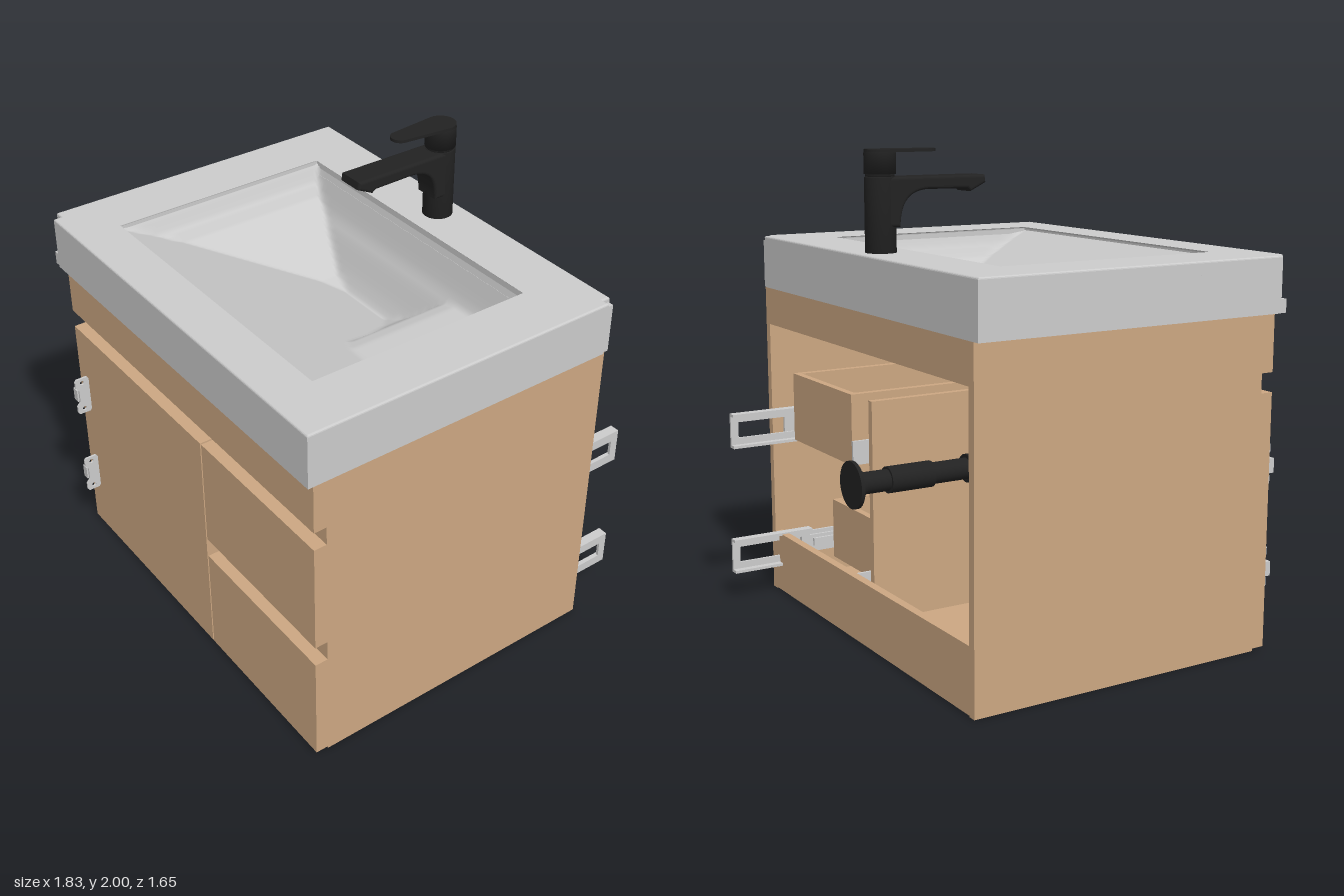
import * as THREE from 'three';

const mat = (color) => new THREE.MeshStandardMaterial({ color, side: THREE.DoubleSide });
const wood = mat(0xcca782), grey = mat(0xcccccc), black = mat(0x222222);

function add(parent, name, geometry, material) {
  const m = new THREE.Mesh(geometry, material);
  m.name = name;
  parent.add(m);
  return m;
}

// Box given by its min and max on every axis
function box(parent, name, x0, x1, y0, y1, z0, z1, material = wood) {
  const m = add(parent, name, new THREE.BoxGeometry(x1 - x0, y1 - y0, z1 - z0), material);
  m.position.set((x0 + x1) / 2, (y0 + y1) / 2, (z0 + z1) / 2);
  return m;
}

function group(parent, name) {
  const g = new THREE.Group();
  g.name = name;
  parent.add(g);
  return g;
}

// Plan outline (x, z) raised from y0 to y1
const planPath = (pts, Type = THREE.Shape) => new Type(pts.map(([x, z]) => new THREE.Vector2(x, -z)));
function raise(shape, y0, y1, bevel = 0) {
  const g = new THREE.ExtrudeGeometry(shape, {
    depth: y1 - y0 - 2 * bevel, bevelEnabled: bevel > 0, bevelSize: bevel,
    bevelThickness: bevel, bevelOffset: -bevel, bevelSegments: 3, curveSegments: 24,
  });
  return g.rotateX(-Math.PI / 2).translate(0, y0 + bevel, 0);
}

// Side profile (z, y) extruded across x
function across(shape, x0, x1, bevel = 0) {
  const g = new THREE.ExtrudeGeometry(shape, {
    depth: x1 - x0 - 2 * bevel, bevelEnabled: bevel > 0, bevelSize: bevel,
    bevelThickness: bevel, bevelOffset: -bevel, bevelSegments: 4, curveSegments: 24,
  });
  return g.rotateY(-Math.PI / 2).translate(x1 - bevel, 0, 0);
}

const rect = (x0, x1, z0, z1) => [[x0, z0], [x1, z0], [x1, z1], [x0, z1]];

function buildCabinet(root) {
  const c = group(root, 'cabinet');
  box(c, 'rightSide', -0.89, -0.855, 0, 1.375, -0.6, 0.71);
  box(c, 'leftSide', 0.85, 0.885, 0, 1.375, -0.6, 0.71);
  box(c, 'floor', -0.855, 0.85, 0.005, 0.04, -0.6, 0.71);
  box(c, 'backTopRail', -0.855, 0.85, 1.215, 1.375, -0.6, -0.565);
  box(c, 'backBottomRail', -0.855, 0.85, 0.04, 0.27, -0.6, -0.565);
  box(c, 'divider', 0.115, 0.145, 0.04, 0.98, -0.48, 0.71);
  // Recessed grip channels
  box(c, 'upperGripChannel', -0.855, 0.85, 1.03, 1.17, 0.68, 0.705);
  box(c, 'lowerGripChannel', 0.145, 0.85, 0.46, 0.61, 0.68, 0.705);
  // Front panels
  box(c, 'topFront', -0.89, 0.885, 1.14, 1.375, 0.71, 0.765);
  box(c, 'door', -0.89, 0.127, 0.01, 1.06, 0.71, 0.765);
  box(c, 'upperDrawerFront', 0.135, 0.885, 0.58, 1.06, 0.71, 0.765);
  box(c, 'lowerDrawerFront', 0.135, 0.885, 0.01, 0.49, 0.71, 0.765);
}

function buildDrawer(root, name, y0, y1, zBack, slideY) {
  const d = group(root, name);
  box(d, 'drawerBack', 0.2, 0.77, y0, y1, zBack, zBack + 0.03);
  box(d, 'drawerInnerFront', 0.2, 0.77, y0, y1, 0.65, 0.68);
  for (const x of [0.2, 0.74]) box(d, 'drawerSide', x, x + 0.03, y0, y1, zBack, 0.68);
  box(d, 'drawerBottom', 0.2, 0.77, y0 + 0.02, y0 + 0.04, zBack, 0.68);
  // Telescopic slides, nested strips on both sides
  for (const [x, dir] of [[0.845, -1], [0.15, 1]]) {
    [0.1, 0.065, 0.035].forEach((h, i) => {
      const a = x + dir * i * 0.013, b = a + dir * 0.012;
      box(d, 'slideRail', Math.min(a, b), Math.max(a, b), slideY - h / 2, slideY + h / 2, -0.55 + i * 0.06, 0.62, grey);
    });
  }
  // Looped bracket reaching out of the back
  const zEnd = slideY > 0.5 ? -0.815 : -0.825, t = 0.075;
  const loop = new THREE.Shape([[zEnd, -t], [-0.45, -t], [-0.45, t], [zEnd, t]].map(([z, y]) => new THREE.Vector2(z, slideY + y)));
  loop.holes.push(new THREE.Path([[zEnd + 0.035, -0.035], [-0.49, -0.035], [-0.49, 0.035], [zEnd + 0.035, 0.035]]
    .map(([z, y]) => new THREE.Vector2(z, slideY + y))));
  add(d, 'slideBracket', across(loop, 0.808, 0.82), grey);
  for (const s of [-1, 1]) {
    const y = slideY + s * 0.07;
    box(d, 'bracketFlange', 0.778, 0.82, y - 0.006, y + 0.006, zEnd, -0.45, grey);
  }
}

function buildHinge(root, y) {
  const h = group(root, 'hinge');
  const plate = new THREE.Shape();
  const pts = [[0.772, -0.09], [0.822, -0.09], [0.83, -0.08], [0.83, -0.05], [0.815, -0.03], [0.815, 0.03],
    [0.83, 0.05], [0.83, 0.08], [0.822, 0.09], [0.772, 0.09], [0.765, 0.08], [0.765, -0.08]];
  plate.setFromPoints(pts.map(([z, dy]) => new THREE.Vector2(z, y + dy)));
  for (const s of [-1, 1]) {
    plate.holes.push(new THREE.Path().absarc(0.798, y + s * 0.067, 0.01, 0, Math.PI * 2, true));
  }
  add(h, 'hingePlate', across(plate, -0.823, -0.813), grey);
  box(h, 'hingeCup', -0.855, -0.823, y - 0.03, y + 0.03, 0.765, 0.822, grey);
}

// Piecewise linear lookup
function ramp(pts, t) {
  for (let i = 1; i < pts.length; i++) {
    const [a, ya] = pts[i - 1], [b, yb] = pts[i];
    if (t <= b) return ya + (yb - ya) * Math.max(0, (t - a) / (b - a));
  }
  return pts[pts.length - 1][1];
}

function buildBasin(root) {
  const b = group(root, 'basin');
  // Outline with two notched corners
  const outline = [[-0.92, -0.6], [0.88, -0.6], [0.88, -0.565], [0.912, -0.565], [0.912, 0.805],
    [-0.88, 0.805], [-0.88, 0.77], [-0.92, 0.77]];
  const opening = rect(-0.68, 0.675, -0.365, 0.62);
  const top = planPath(outline);
  top.holes.push(planPath(opening, THREE.Path));
  add(b, 'basinRim', raise(top, 1.54, 1.6, 0.008), grey);
  const skirt = planPath(outline);
  skirt.holes.push(planPath(rect(-0.87, 0.865, -0.57, 0.755), THREE.Path));
  add(b, 'basinSkirt', raise(skirt, 1.375, 1.57), grey);
  box(b, 'backCornerInsert', 0.88, 0.905, 1.375, 1.58, -0.595, -0.565, grey);
  box(b, 'frontCornerInsert', -0.915, -0.88, 1.375, 1.43, 0.77, 0.8, grey);

  // Bowl: the highest of front slope, side slopes and back wall
  const side = [[-0.685, 1.585], [-0.665, 1.55], [-0.655, 1.51], [-0.635, 1.5], [-0.625, 1.47], [-0.35, 1.23], [-0.2, 1.18], [0, 1.19],
    [0.1, 1.23], [0.2, 1.3], [0.28, 1.375], [0.34, 1.39], [0.53, 1.395], [0.635, 1.49], [0.645, 1.52], [0.66, 1.53], [0.68, 1.585]];
  const back = [[-0.37, 1.585], [-0.325, 1.42], [-0.3, 1.38], [-0.25, 1.26], [-0.2, 1.17], [0, 1.1]];
  const bowl = new THREE.PlaneGeometry(1.362, 0.992, 110, 80).rotateX(-Math.PI / 2).translate(-0.0025, 0, 0.1275);
  const p = bowl.attributes.position;
  for (let i = 0; i < p.count; i++) {
    const x = p.getX(i), z = p.getZ(i);
    p.setY(i, Math.max(1.585 - 0.47 * (0.62 - z), ramp(side, x), ramp(back, z)));
  }
  bowl.computeVertexNormals();
  add(b, 'bowl', bowl, grey);
}

function buildTap(root) {
  const t = group(root, 'tap');
  const turned = (name, r, y0, y1) => {
    const c = [[0, y0], [r, y0], [r, y1 - 0.004], [r - 0.004, y1], [0, y1]];
    add(t, name, new THREE.LatheGeometry(c.map(([a, y]) => new THREE.Vector2(a, y)), 40), black).position.set(-0.01, 0, -0.493);
  };
  turned('tapBody', 0.062, 1.6, 1.895);
  turned('tapNeck', 0.057, 1.89, 1.91);
  turned('tapHead', 0.063, 1.905, 1.99);
  // Spout swept from the body to its drooping tip
  const s = new THREE.Shape();
  s.moveTo(-0.5, 1.893);
  s.lineTo(-0.05, 1.893);
  s.lineTo(-0.045, 1.862);
  s.lineTo(-0.115, 1.828);
  s.lineTo(-0.13, 1.84);
  s.lineTo(-0.31, 1.843);
  s.bezierCurveTo(-0.39, 1.838, -0.43, 1.8, -0.432, 1.7);
  s.lineTo(-0.5, 1.7);
  add(t, 'spout', across(s, -0.07, 0.05, 0.012), black);
  // Thin rounded lever
  const l = new THREE.Shape();
  l.absarc(-0.01, 0.493, 0.062, 0, Math.PI, false);
  l.lineTo(-0.05, 0.29);
  l.absarc(-0.01, 0.29, 0.04, Math.PI, Math.PI * 2, false);
  add(t, 'lever', raise(l, 1.988, 2), black);
}

function buildDrain(root) {
  const d = group(root, 'drain');
  const rod = (name, r, len, x, y, z, alongZ) => {
    const m = add(d, name, new THREE.CylinderGeometry(r, r, len, 32), black);
    m.position.set(x, y, z);
    if (alongZ) m.rotation.x = Math.PI / 2;
  };
  rod('trapBottle', 0.075, 0.38, -0.01, 0.62, 0.05);
  rod('trapCap', 0.08, 0.05, -0.01, 0.79, 0.05);
  rod('drainPipe', 0.045, 0.42, -0.01, 1, 0.05);
  rod('wastePipe', 0.045, 0.68, -0.01, 0.68, -0.29, true);
  rod('pipeCoupling', 0.06, 0.1, -0.01, 0.68, -0.06, true);
  rod('pipeSleeve', 0.055, 0.2, -0.01, 0.68, -0.38, true);
  rod('wallCollar', 0.05, 0.04, -0.01, 0.68, -0.61, true);
  rod('wallFlange', 0.098, 0.016, -0.01, 0.68, -0.634, true);
}

export function createModel() {
  const root = new THREE.Group();
  root.name = 'washbasinCabinet';
  buildCabinet(root);
  buildDrawer(root, 'upperDrawer', 0.7, 1.0, -0.53, 0.765);
  buildDrawer(root, 'lowerDrawer', 0.13, 0.4, -0.35, 0.2);
  for (const y of [0.75, 0.32]) buildHinge(root, y);
  buildBasin(root);
  buildTap(root);
  buildDrain(root);
  return root;
}
